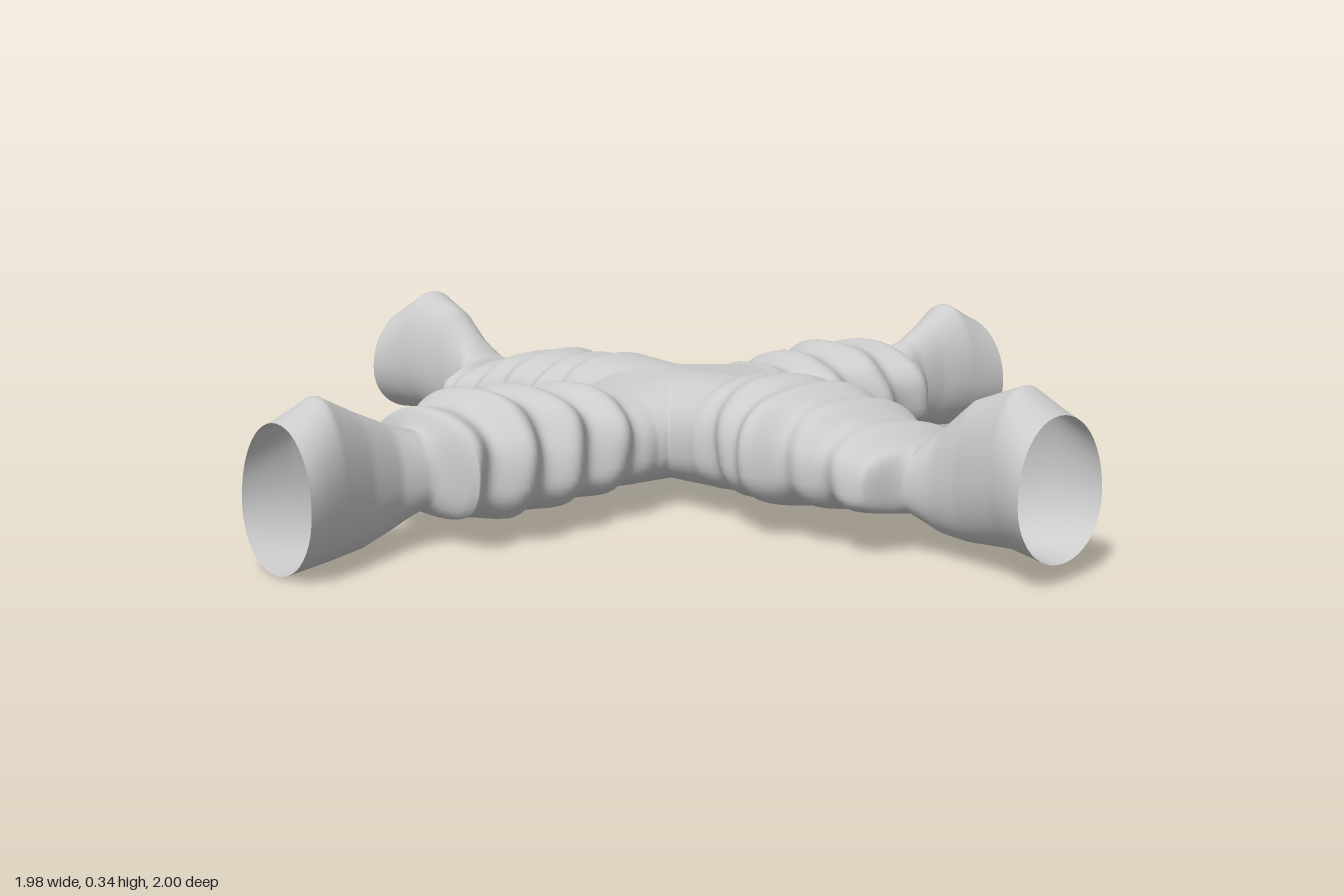
import * as THREE from 'three';
import { mergeVertices } from 'three/addons/utils/BufferGeometryUtils.js';

const { lerp, smoothstep } = THREE.MathUtils;
const SIDES = 48, HUB_RINGS = 8, ARM_RINGS = 100, HUB_END = 0.2;
const HUB = { x: -0.01, z: 0.02 };

// Stations along an arm: distance from centre, half width, floor, crown
const PROFILES = {
  x: [
    [0, 0.16, 0.05, 0.27], [0.25, 0.16, 0.055, 0.28], [0.45, 0.165, 0.062, 0.272],
    [0.665, 0.16, 0.088, 0.208], [0.69, 0.078, 0.085, 0.215], [0.74, 0.06, 0.055, 0.26],
    [0.8, 0.066, 0.05, 0.315], [0.9, 0.095, 0.057, 0.355], [0.99, 0.125, 0.048, 0.31],
  ],
  z: [
    [0, 0.16, 0.05, 0.27], [0.22, 0.15, 0.053, 0.248], [0.55, 0.172, 0.043, 0.273],
    [0.665, 0.163, 0.062, 0.248], [0.69, 0.075, 0.08, 0.23], [0.75, 0.06, 0.048, 0.25],
    [0.82, 0.07, 0.025, 0.283], [0.9, 0.096, 0.017, 0.325], [1, 0.123, 0.011, 0.285],
  ],
};

// lift raises the body crown, lump swells one wall, drift shifts the mouth sideways
const ARMS = [
  { axis: 'x', sign: 1, rib: 0.011, period: 0.1, phase: 0.32, lift: 0.017, lump: 0.045, drift: -0.01 },
  { axis: 'x', sign: -1, rib: 0.011, period: 0.1, phase: 0.4, lift: -0.015, lump: 0, drift: 0.015 },
  { axis: 'z', sign: 1, rib: 0.02, period: 0.122, phase: 0.305, lift: 0.01, lump: 0, drift: 0.017 },
  { axis: 'z', sign: -1, rib: 0.02, period: 0.13, phase: 0.35, lift: -0.005, lump: 0, drift: -0.005 },
];

// Linear interpolation between stations
function sectionAt(stations, d) {
  let i = 1;
  while (i < stations.length - 1 && stations[i][0] < d) i++;
  const a = stations[i - 1], b = stations[i];
  const t = (d - a[0]) / (b[0] - a[0]);
  return a.map((v, k) => lerp(v, b[k], t));
}

// Point of the section loop: arched crown, flatter floor, ribs on walls and crown
function sectionPoint(arm, sideAxis, d, angle) {
  const [, halfWidth, floor, top] = sectionAt(PROFILES[arm.axis], d);
  const c = Math.cos(angle), s = Math.sin(angle);
  const body = smoothstep(d, HUB_END, 0.27) * (1 - smoothstep(d, 0.66, 0.69));
  const wave = Math.cos((d - arm.phase + 0.012 * Math.sin(angle * 2)) * Math.PI * 2 / arm.period);
  const rough = 0.3 * Math.sin(d * 37 + 3 * c) * Math.cos(4 * angle + d * 15);
  const rib = arm.rib * body * (wave + rough);
  const squareness = s > 0 ? 2.3 : 2.7;
  const power = 2 / lerp(squareness, 2.05, smoothstep(d, 0.66, 0.75));
  const bend = (v) => (Math.abs(v) < 1e-9 ? 0 : Math.sign(v) * Math.abs(v) ** power);
  const crown = top + arm.lift * body;
  const mid = floor + 0.45 * (crown - floor);
  const lump = c > 0 ? arm.lump * c * Math.exp(-(((d - 0.4) / 0.06) ** 2)) * body : 0;
  const center = HUB[sideAxis] + arm.drift * smoothstep(d, 0.7, 1);
  const side = center + bend(c) * (halfWidth + rib) + lump;
  const y = mid + bend(s) * (s > 0 ? crown - mid + rib * 0.5 : mid - floor);
  return [side, y];
}

// Adds one arm, mitred against its neighbours at the hub
function addArm(arm, positions, indices) {
  const base = positions.length / 3;
  const end = PROFILES[arm.axis].at(-1)[0];
  const sideAxis = arm.axis === 'x' ? 'z' : 'x';
  const rings = HUB_RINGS + ARM_RINGS;
  for (let i = 0; i <= rings; i++) {
    const inHub = i < HUB_RINGS;
    const d = inHub ? HUB_END * i / HUB_RINGS : lerp(HUB_END, end, (i - HUB_RINGS) / ARM_RINGS);
    for (let j = 0; j < SIDES; j++) {
      const angle = j / SIDES * Math.PI * 2;
      const [side, y] = sectionPoint(arm, sideAxis, d, angle);
      let along = d;
      if (inHub) {
        const hubSide = sectionPoint(arm, sideAxis, 0, angle)[0] - HUB[sideAxis];
        along = lerp(Math.abs(hubSide) + HUB[arm.axis] * arm.sign, HUB_END, i / HUB_RINGS);
      }
      // Slightly scooped, leaning mouth
      along -= smoothstep(d, 0.88, end) * (0.009 + 0.009 * Math.sin(angle));
      const p = { x: 0, y, z: 0 };
      p[arm.axis] = along * arm.sign;
      p[sideAxis] = side;
      positions.push(p.x, p.y, p.z);
    }
  }
  const flip = (arm.axis === 'x') === (arm.sign > 0);
  for (let i = 0; i < rings; i++) {
    for (let j = 0; j < SIDES; j++) {
      const a = base + i * SIDES + j, b = base + i * SIDES + (j + 1) % SIDES;
      const c = b + SIDES, e = a + SIDES;
      indices.push(...(flip ? [a, c, b, a, e, c] : [a, b, c, a, c, e]));
    }
  }
}

export function createModel() {
  const group = new THREE.Group();
  group.name = 'crossTunnel';
  const positions = [], indices = [];
  ARMS.forEach((arm) => addArm(arm, positions, indices));

  // Weld the hub seams so the four arms shade as one skin
  let geometry = new THREE.BufferGeometry();
  geometry.setAttribute('position', new THREE.Float32BufferAttribute(positions, 3));
  geometry.setIndex(indices);
  geometry = mergeVertices(geometry, 1e-4);
  geometry.computeVertexNormals();

  const shell = new THREE.Mesh(geometry, new THREE.MeshStandardMaterial({ color: 0xcccccc, side: THREE.DoubleSide }));
  shell.name = 'tunnelShell';
  group.add(shell);
  return group;
}
